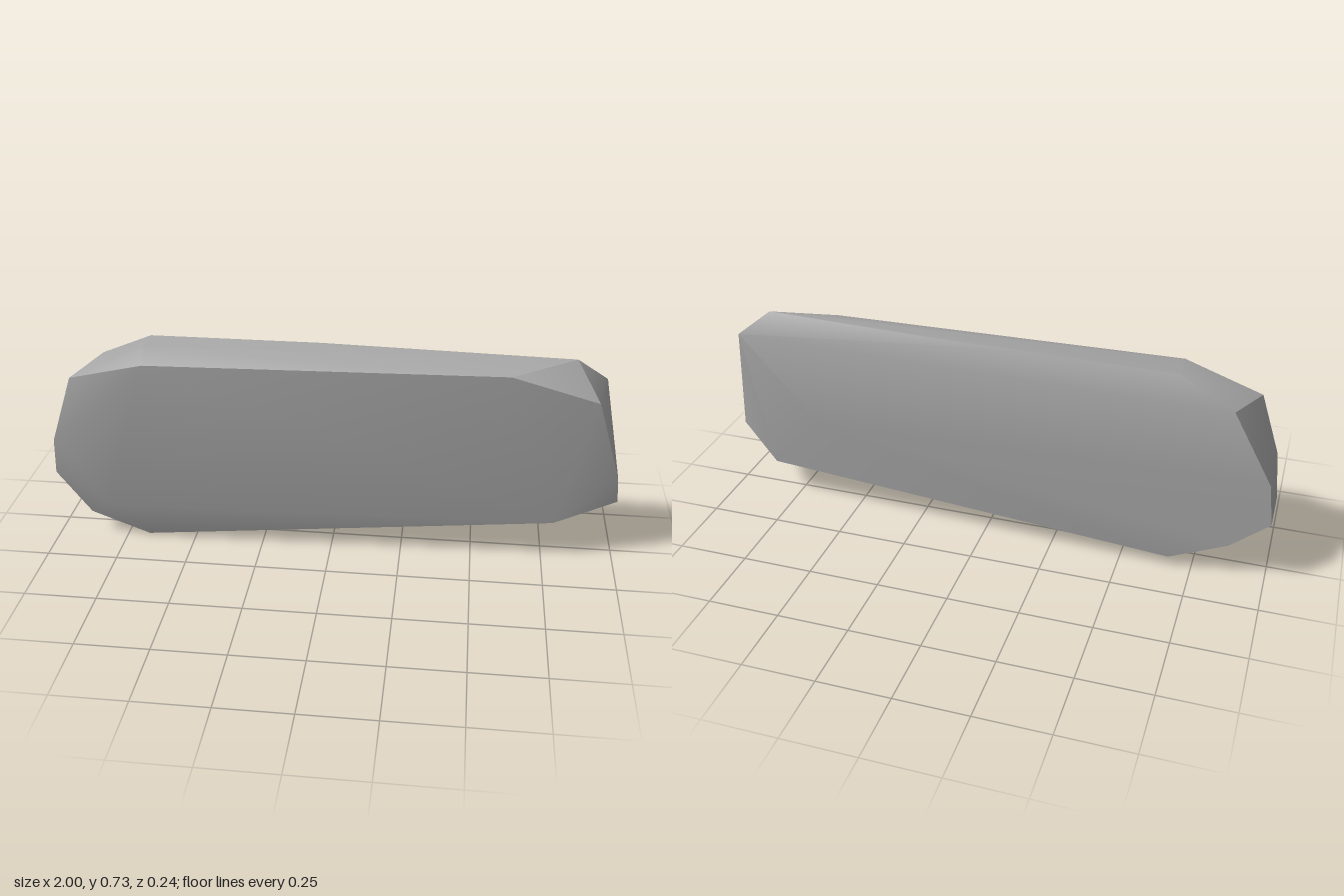
import * as THREE from 'three';
import { ConvexGeometry } from 'three/addons/geometries/ConvexGeometry.js';
import { toCreasedNormals } from 'three/addons/utils/BufferGeometryUtils.js';

export function createModel() {
  const group = new THREE.Group();
  group.name = 'stoneSlab';
  const stone = new THREE.MeshStandardMaterial({ color: 0xa6a6a6 });
  stone.name = 'grey stone';

  // Chipped corners of the slab, [x, y, z]
  const corners = [
    // front rim
    [-0.64, 0.695, 0.12], [-0.91, 0.62, 0.085], [-0.98, 0.39, 0.118], [-1, 0.24, 0.08],
    [-0.8, 0.14, 0.12], [-0.88, 0.085, 0.083], [-0.67, 0.005, 0.083],
    [0.78, 0.15, 0.083], [0.6, 0.7, 0.083], [0.9, 0.61, 0.065],
    // top ridge
    [-0.65, 0.73, 0.045], [-0.65, 0.73, -0.063], [-0.05, 0.73, -0.063], [0.82, 0.73, -0.02],
    // narrow right end
    [0.93, 0.645, -0.063], [0.99, 0.32, 0.045], [1, 0.22, 0.03], [0.83, 0.13, -0.063],
    // back rim and bulge
    [0.6, 0.35, -0.118], [-0.84, 0.64, -0.1], [-0.98, 0.39, -0.1], [-1, 0.24, -0.1],
    [-0.87, 0.13, -0.1], [-0.67, 0.04, -0.1],
    // underside
    [-0.67, 0, 0.015], [-0.67, 0.025, -0.063],
  ].map(p => new THREE.Vector3(...p));

  const slab = new THREE.Mesh(toCreasedNormals(new ConvexGeometry(corners), 0.55), stone);
  slab.name = 'slab';
  group.add(slab);
  return group;
}
